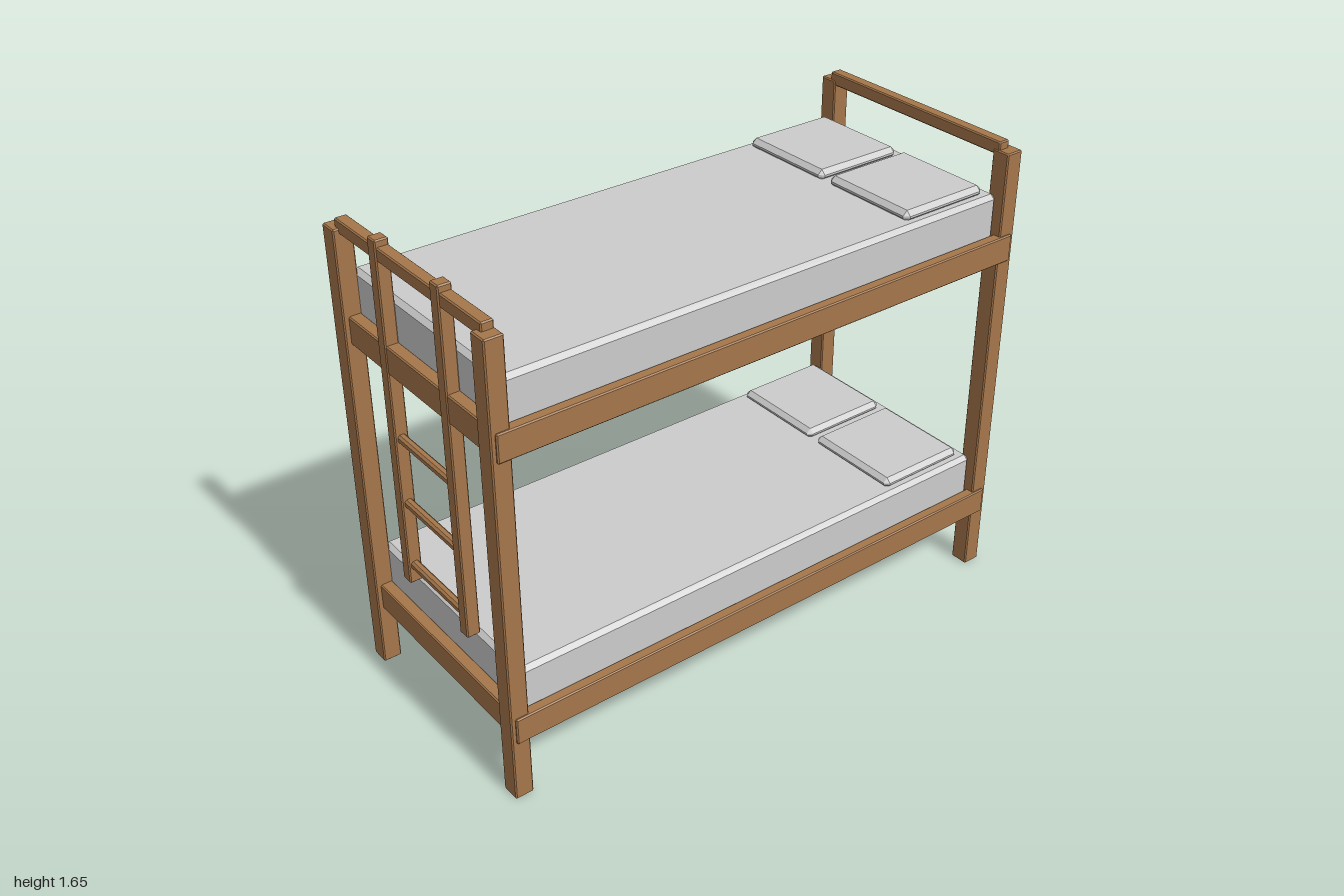
import * as THREE from 'three';
import { ConvexGeometry } from 'three/addons/geometries/ConvexGeometry.js';

const wood = new THREE.MeshStandardMaterial({ color: 0xa5774b, flatShading: true });
const darkWood = new THREE.MeshStandardMaterial({ color: 0x6e4d32, flatShading: true });
const grey = new THREE.MeshStandardMaterial({ color: 0xcccccc, flatShading: true });

// Box between two corners with all edges and corners chamfered by c
function chamferBox(name, [x0, y0, z0], [x1, y1, z1], c, material) {
  const half = new THREE.Vector3(x1 - x0, y1 - y0, z1 - z0).multiplyScalar(0.5);
  const points = [];
  for (const sx of [-1, 1]) for (const sy of [-1, 1]) for (const sz of [-1, 1]) {
    for (let axis = 0; axis < 3; axis++) {
      const p = half.clone().subScalar(c);
      p.setComponent(axis, half.getComponent(axis));
      points.push(p.multiply(new THREE.Vector3(sx, sy, sz)));
    }
  }
  const mesh = new THREE.Mesh(new ConvexGeometry(points), material);
  mesh.position.set((x0 + x1) / 2, (y0 + y1) / 2, (z0 + z1) / 2);
  mesh.name = name;
  return mesh;
}

// Same box, given its centre and size across x and z
function bar(name, x, z, w, d, y0, y1, c = 0.004, material = wood) {
  return chamferBox(name, [x - w / 2, y0, z - d / 2], [x + w / 2, y1, z + d / 2], c, material);
}

// One bed: rails, base board, mattress and two pillows
function createBunk(name) {
  const bunk = new THREE.Group();
  bunk.name = name;
  for (const s of [-1, 1]) {
    bunk.add(bar('sideRail', s * 0.428, 0, 0.038, 1.97, 0.22, 0.315));
    bunk.add(bar('endRail', 0, s * 0.96, 0.8, 0.044, 0.22, 0.315));
    bunk.add(bar('pillow', s * 0.198, -0.732, 0.365, 0.34, 0.448, 0.487, 0.016, grey));
  }
  const base = new THREE.Mesh(new THREE.BoxGeometry(0.825, 0.08, 1.89), darkWood);
  base.name = 'baseBoard';
  base.position.y = 0.265;
  bunk.add(base);
  bunk.add(bar('mattress', 0, 0, 0.816, 1.88, 0.29, 0.456, 0.015, grey));
  return bunk;
}

function createLadder() {
  const ladder = new THREE.Group();
  ladder.name = 'ladder';
  for (const s of [-1, 1]) {
    ladder.add(bar('ladderStile', s * 0.17, 0.962, 0.044, 0.046, 0.46, 1.652));
  }
  for (let i = 0; i < 4; i++) {
    const y = 0.526 + i * 0.234;
    ladder.add(bar('rung', 0, 0.962, 0.32, 0.028, y - 0.014, y + 0.014, 0.007));
  }
  return ladder;
}

export function createModel() {
  const bed = new THREE.Group();
  bed.name = 'bunkBed';

  // Corner posts and the top rail at each end
  for (const sz of [-1, 1]) {
    for (const sx of [-1, 1]) {
      bed.add(bar('cornerPost', sx * 0.406, sz * 0.968, 0.066, 0.064, 0, 1.603));
    }
    bed.add(bar('topRail', 0, sz * 0.96, 0.796, 0.042, 1.585, 1.63));
  }

  const lower = createBunk('lowerBunk');
  const upper = createBunk('upperBunk');
  upper.position.y = 1;
  bed.add(lower, upper, createLadder());
  return bed;
}
